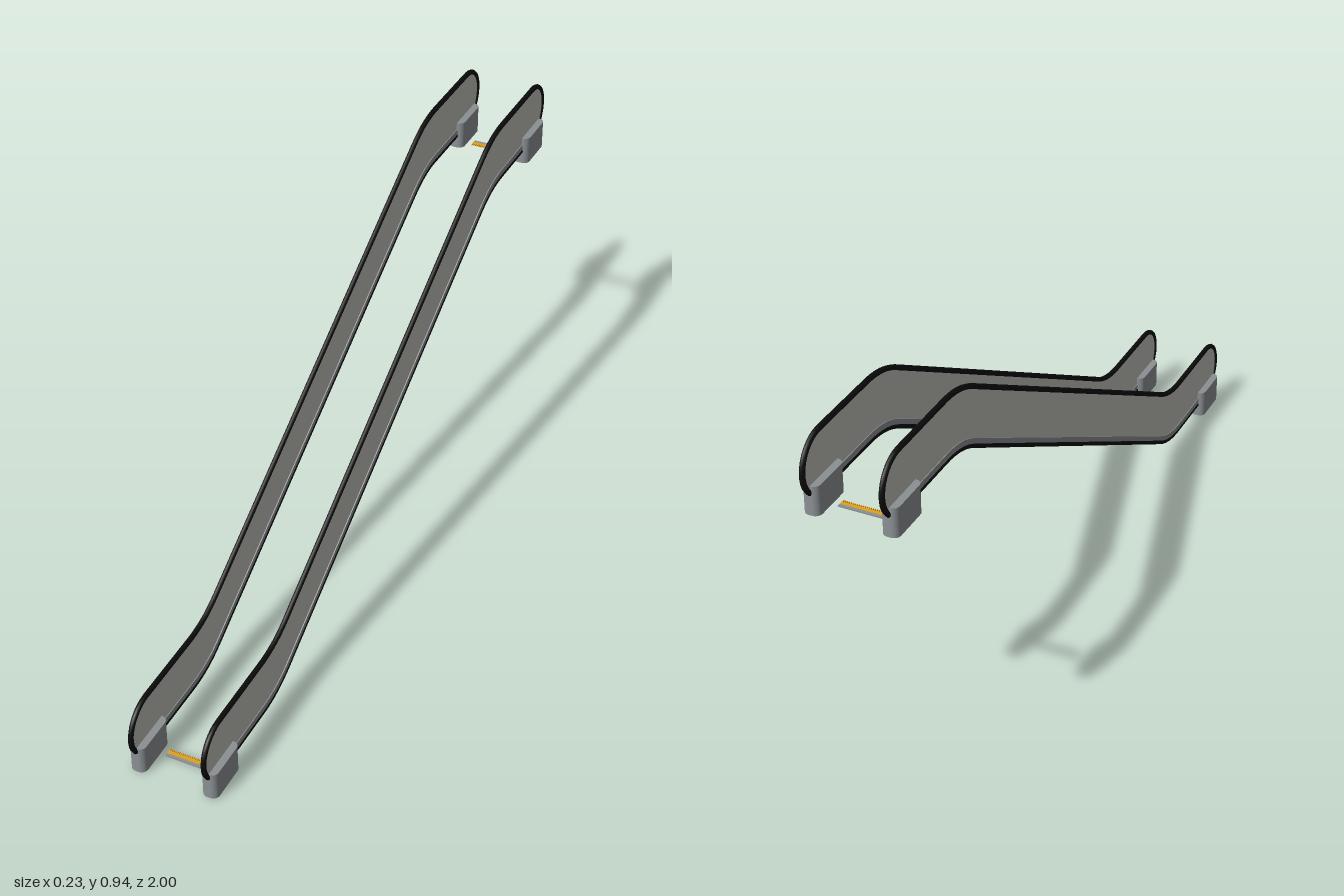
import * as THREE from 'three';

const mat = (name, color, side = THREE.FrontSide) => {
  const m = new THREE.MeshStandardMaterial({ color, side });
  m.name = name;
  return m;
};

const RAIL_X = 0.096, HALF = 0.078, END_Z = 0.915;
const LOW_Y = 0.119, HIGH_Y = 0.852, KNEE_Z = 0.635, BEND = 0.07;

// Centre line from the low end to the high end, as (u, y) with u = -z
function centreLine() {
  const low = new THREE.Vector2(-KNEE_Z, LOW_Y), high = new THREE.Vector2(KNEE_Z, HIGH_Y);
  const dir = high.clone().sub(low).normalize();
  const flat = new THREE.Vector2(1, 0);
  const bend = (p, a, b) => new THREE.QuadraticBezierCurve(
    p.clone().addScaledVector(a, -BEND), p, p.clone().addScaledVector(b, BEND)).getPoints(8);
  return [new THREE.Vector2(-END_Z, LOW_Y), ...bend(low, flat, dir),
    ...bend(high, dir, flat), new THREE.Vector2(END_Z, HIGH_Y)];
}

// Closed loop: centre line shifted up and down, joined by half circles
function loopPoints(half) {
  const line = centreLine();
  const shift = d => line.map(p => new THREE.Vector2(p.x, p.y + d));
  const cap = (u, y, start) => Array.from({ length: 15 }, (_, i) => {
    const a = start - (i + 1) / 16 * Math.PI;
    return new THREE.Vector2(u + half * Math.cos(a), y + half * Math.sin(a));
  });
  return [...shift(half), ...cap(END_Z, HIGH_Y, Math.PI / 2),
    ...shift(-half).reverse(), ...cap(-END_Z, LOW_Y, -Math.PI / 2)];
}

// Upright slab in the z-y plane, centred on x = 0
function slab(points, thickness) {
  const g = new THREE.ExtrudeGeometry(new THREE.Shape(points), { depth: thickness, bevelEnabled: false });
  return g.translate(0, 0, -thickness / 2).rotateY(Math.PI / 2);
}

// Box with rounded upright edges
function newelGeometry(w, h, d, r) {
  const s = new THREE.Shape(), x = w / 2, y = d / 2;
  s.moveTo(-x + r, -y).lineTo(x - r, -y);
  s.absarc(x - r, -y + r, r, -Math.PI / 2, 0);
  s.absarc(x - r, y - r, r, 0, Math.PI / 2);
  s.absarc(-x + r, y - r, r, Math.PI / 2, Math.PI);
  s.absarc(-x + r, -y + r, r, Math.PI, Math.PI * 1.5);
  return new THREE.ExtrudeGeometry(s, { depth: h, bevelEnabled: false, curveSegments: 6 })
    .rotateX(-Math.PI / 2);
}

export function createModel() {
  const model = new THREE.Group();
  model.name = 'escalatorBalustrades';
  const black = mat('handrail black', 0x0b0b0b);
  const pale = mat('panel grey', 0xbebeb8);
  const skirtGrey = mat('skirt grey', 0x8a8c8e);
  const steel = mat('newel steel', 0x8b9093);
  const yellow = mat('comb yellow', 0xe0a020);

  const add = (parent, name, geometry, material, x = 0, y = 0, z = 0) => {
    const mesh = new THREE.Mesh(geometry, material);
    mesh.name = name;
    mesh.position.set(x, y, z);
    parent.add(mesh);
    return mesh;
  };

  // Handrail loop
  const path = new THREE.CurvePath();
  const pts = loopPoints(HALF).map(p => new THREE.Vector3(0, p.y, -p.x));
  pts.forEach((p, i) => path.add(new THREE.LineCurve3(p, pts[(i + 1) % pts.length])));
  const railGeo = new THREE.TubeGeometry(path, 320, 0.007, 8, true);

  // Panel, and the skirt strip along its lower edge
  const panelGeo = slab(loopPoints(HALF - 0.002), 0.005);
  const line = centreLine();
  const skirtGeo = slab([
    ...line.map(p => new THREE.Vector2(p.x, p.y - HALF)),
    ...line.map(p => new THREE.Vector2(p.x, p.y - HALF + 0.02)).reverse()], 0.01);
  const newelGeo = newelGeometry(0.042, 0.076, 0.121, 0.017);

  for (const [side, x] of [['left', RAIL_X], ['right', -RAIL_X]]) {
    const group = new THREE.Group();
    group.name = side + 'Balustrade';
    group.position.x = x;
    add(group, 'handrail', railGeo, black);
    add(group, 'panel', panelGeo, pale);
    add(group, 'skirt', skirtGeo, skirtGrey);
    add(group, 'lowerNewel', newelGeo, steel, 0, 0.005, 0.917);
    add(group, 'upperNewel', newelGeo, steel, 0, 0.738, -0.91);
    model.add(group);
  }

  // Comb plates with fine teeth at both landings
  const backGeo = new THREE.BoxGeometry(0.126, 0.003, 0.008);
  const plateGeo = new THREE.BoxGeometry(0.126, 0.003, 0.01);
  const toothGeo = new THREE.BoxGeometry(0.0025, 0.003, 0.006);
  for (const [name, y, z, dir] of [['lowerComb', 0.0015, 0.888, -1], ['upperComb', 0.7345, -0.897, 1]]) {
    const comb = new THREE.Group();
    comb.name = name;
    comb.position.set(0, y, z);
    add(comb, 'combBack', backGeo, steel, 0, 0, -dir * 0.009);
    add(comb, 'combPlate', plateGeo, yellow);
    for (let i = 0; i < 26; i++) {
      add(comb, 'combTooth', toothGeo, yellow, -0.0615 + i * 0.00492, 0, dir * 0.008);
    }
    model.add(comb);
  }
  return model;
}
